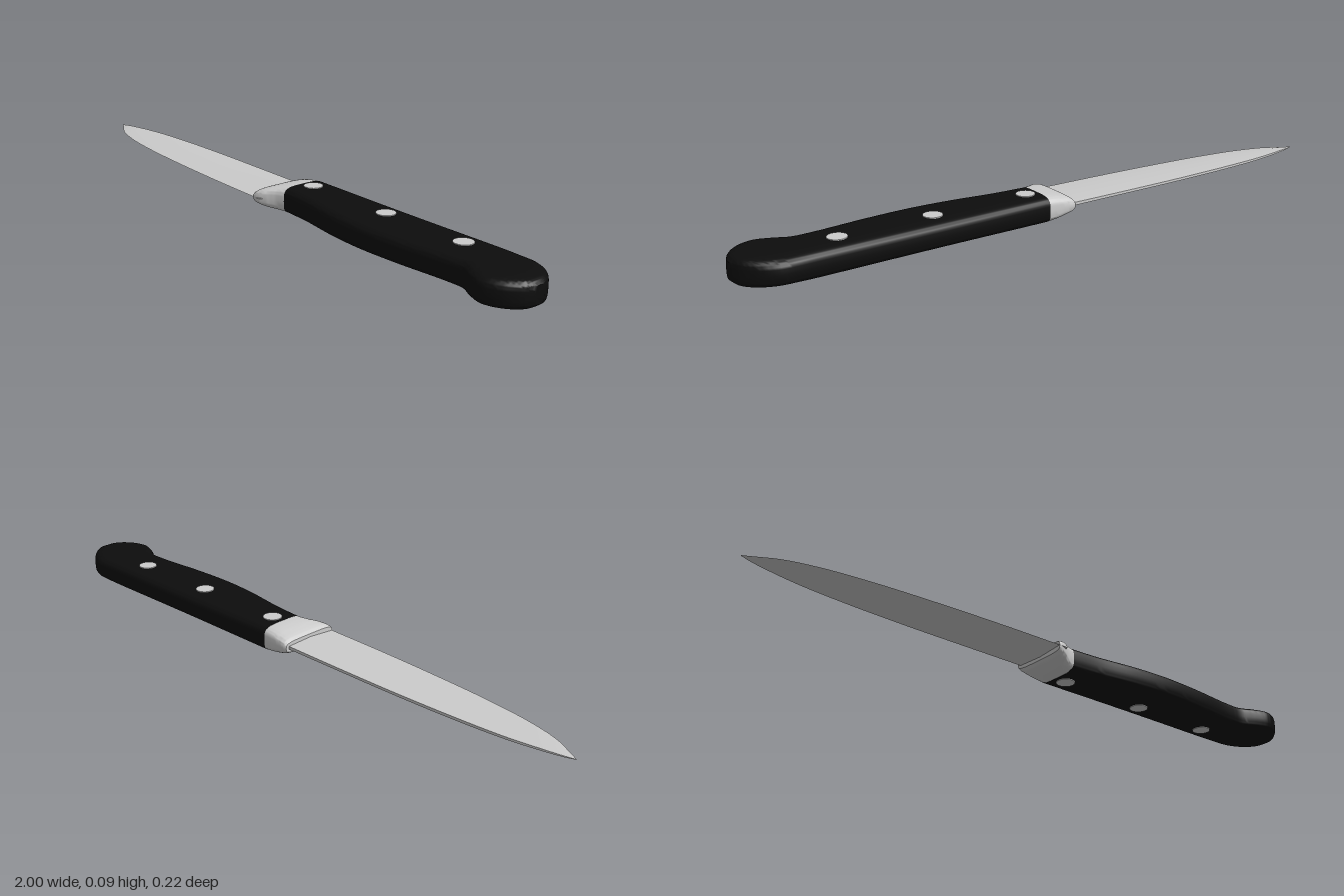
import * as THREE from 'three';
import { toCreasedNormals } from 'three/addons/utils/BufferGeometryUtils.js';

const MID = 0.044; // height of the knife's centre plane

// Sweeps a cross-section along x. Rows are [x, zBack, zFront, halfThickness];
// section points are [across, up], both from -1 to 1.
function loft(rows, section, steps, crease) {
  const back = new THREE.CatmullRomCurve3(rows.map(([x, b, , h]) => new THREE.Vector3(x, h, b)));
  const front = new THREE.CatmullRomCurve3(rows.map(([x, , f, h]) => new THREE.Vector3(x, h, f)));
  const n = section.length;
  const pos = [], index = [];
  for (let i = 0; i <= steps; i++) {
    const a = back.getPoint(i / steps), b = front.getPoint(i / steps);
    for (const [s, u] of section) {
      const k = (s + 1) / 2;
      pos.push(a.x + (b.x - a.x) * k, MID + a.y * u, a.z + (b.z - a.z) * k);
    }
  }
  for (let i = 0; i < steps; i++) {
    for (let j = 0; j < n; j++) {
      const p = i * n + j, q = i * n + (j + 1) % n;
      index.push(p, p + n, q, q, p + n, q + n);
    }
  }
  // end caps
  for (let j = 1; j < n - 1; j++) {
    const e = steps * n;
    index.push(0, j, j + 1, e, e + j + 1, e + j);
  }
  const g = new THREE.BufferGeometry();
  g.setAttribute('position', new THREE.Float32BufferAttribute(pos, 3));
  g.setIndex(index);
  return toCreasedNormals(g, crease);
}

// Rounded-rectangle section (superellipse)
function roundedSection(count, power) {
  const f = (v) => Math.sign(v) * Math.abs(v) ** (2 / power);
  return Array.from({ length: count }, (_, i) => {
    const t = (i / count) * Math.PI * 2;
    return [f(Math.cos(t)), f(Math.sin(t))];
  });
}

export function createModel() {
  const group = new THREE.Group();
  const steel = new THREE.MeshStandardMaterial({ color: 0xcccccc });
  const black = new THREE.MeshStandardMaterial({ color: 0x0d0d0d });
  const add = (name, geometry, material) => {
    const mesh = new THREE.Mesh(geometry, material);
    mesh.name = name;
    group.add(mesh);
    return mesh;
  };

  // Blade: thick spine at the back, sharp edge at the front
  add('blade', loft([
    [-1, -0.051, -0.049, 0.001],
    [-0.97, -0.06, -0.032, 0.003],
    [-0.91, -0.072, 0.0, 0.005],
    [-0.81, -0.087, 0.028, 0.006],
    [-0.66, -0.097, 0.05, 0.007],
    [-0.45, -0.102, 0.067, 0.007],
    [-0.235, -0.101, 0.078, 0.007],
    [0, -0.098, 0.085, 0.008],
  ], [[1, 0], [0, 1], [-1, 0.6], [-1, -0.6], [0, -1]], 56, 0.5), steel);

  const oval = roundedSection(48, 4);

  // Bolster flares from the blade up to the handle
  add('bolster', loft([
    [-0.032, -0.11, 0.084, 0.018],
    [-0.024, -0.112, 0.084, 0.024],
    [0.0, -0.112, 0.075, 0.032],
    [0.03, -0.112, 0.055, 0.038],
    [0.062, -0.112, 0.042, 0.041],
  ], oval, 16, 0.7), steel);

  // Handle with a swelling belly and a hooked, rounded butt
  add('handle', loft([
    [0.06, -0.112, 0.042, 0.0415],
    [0.166, -0.112, 0.051, 0.0415],
    [0.3, -0.112, 0.072, 0.0415],
    [0.43, -0.112, 0.082, 0.0415],
    [0.57, -0.112, 0.078, 0.0415],
    [0.74, -0.112, 0.064, 0.0415],
    [0.805, -0.112, 0.066, 0.0415],
    [0.85, -0.112, 0.089, 0.0415],
    [0.9, -0.109, 0.104, 0.0415],
    [0.95, -0.086, 0.084, 0.0405],
    [0.985, -0.05, 0.047, 0.036],
    [1, -0.018, 0.016, 0.026],
  ], oval, 77, 0.7), black);

  // Rivets run right through the handle
  for (const x of [0.1, 0.415, 0.71]) {
    const rivet = add('rivet', new THREE.CylinderGeometry(0.029, 0.029, 0.088, 32), steel);
    rivet.position.set(x, MID, -0.04);
  }
  return group;
}
